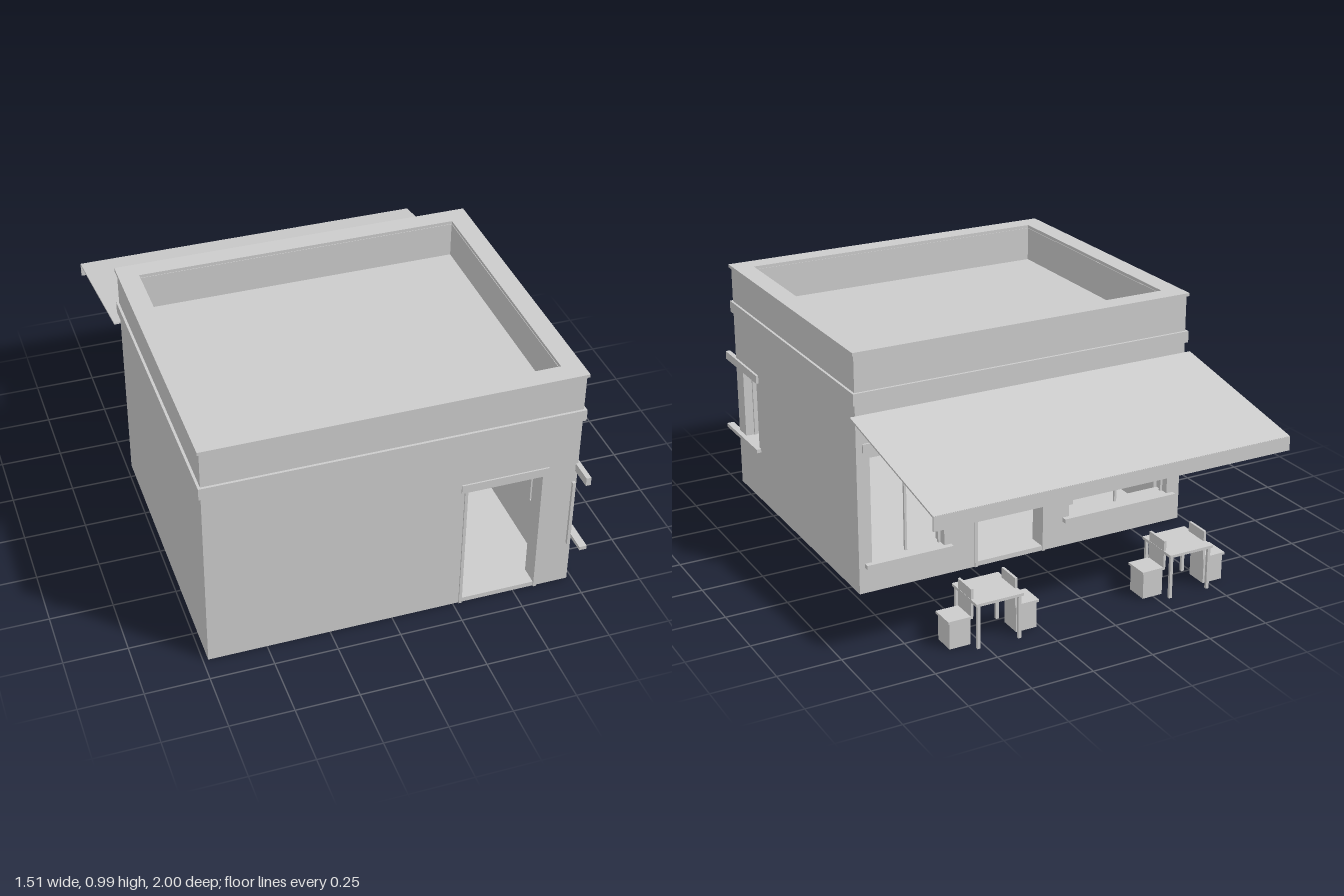
import * as THREE from 'three';

export function createModel() {
  const model = new THREE.Group();
  model.name = 'cafeBuilding';
  const plaster = new THREE.MeshStandardMaterial({ color: 0xcccccc });
  plaster.name = 'plain grey';

  const add = (name, geometry, parent = model) => {
    const mesh = new THREE.Mesh(geometry, plaster);
    mesh.name = name;
    parent.add(mesh);
    return mesh;
  };
  // Box given by its limits on each axis
  const box = (name, x0, x1, y0, y1, z0, z1, parent) => {
    const g = new THREE.BoxGeometry(x1 - x0, y1 - y0, z1 - z0);
    g.translate((x0 + x1) / 2, (y0 + y1) / 2, (z0 + z1) / 2);
    return add(name, g, parent);
  };
  const rect = (Type, x0, x1, y0, y1) => {
    const p = new Type();
    p.moveTo(x0, y0).lineTo(x1, y0).lineTo(x1, y1).lineTo(x0, y1).closePath();
    return p;
  };

  const W = 0.73, BACK = -0.322, FRONT = 0.902, T = 0.075, TOP = 0.975;
  const extrude = { depth: T, bevelEnabled: false };

  // Front and back walls with their openings
  const wall = (name, z, openings) => {
    const shape = rect(THREE.Shape, -W, W, 0, TOP);
    openings.forEach(o => shape.holes.push(rect(THREE.Path, ...o)));
    add(name, new THREE.ExtrudeGeometry(shape, extrude).translate(0, 0, z));
  };
  const frontDoor = [0.285, 0.585, 0.02, 0.55];
  const backDoor = [-0.075, 0.22, 0.02, 0.55];
  const backWindows = [[-0.67, -0.2, 0.125, 0.585], [0.365, 0.675, 0.125, 0.585]];
  wall('frontWall', FRONT - T, [frontDoor]);
  wall('backWall', BACK, [backDoor, ...backWindows]);

  // Side walls, the left one notched for the corner window
  const zi = FRONT - T, zb = BACK + T;
  box('rightWall', -W, -W + T, 0, TOP, zb, zi);
  const side = new THREE.Shape([
    [zb, 0], [zi, 0], [zi, 0.24], [0.675, 0.24], [0.675, 0.54], [zi, 0.54], [zi, TOP], [zb, TOP],
  ].map(p => new THREE.Vector2(...p)));
  add('leftWall', new THREE.ExtrudeGeometry(side, extrude).rotateY(-Math.PI / 2).translate(W, 0, 0));

  // Floor and flat roof
  box('floor', -W + T, W - T, 0, 0.02, zb, zi);
  box('roof', -W + T, W - T, 0.78, 0.83, zb, zi);

  // Bands running round the building
  const band = (name, out, inset, y0, y1) => {
    const shape = rect(THREE.Shape, -W - out, W + out, -FRONT - out, -BACK + out);
    shape.holes.push(rect(THREE.Path, -W + inset, W - inset, -FRONT + inset, -BACK - inset));
    const g = new THREE.ExtrudeGeometry(shape, { depth: y1 - y0, bevelEnabled: false });
    add(name, g.rotateX(-Math.PI / 2).translate(0, y0, 0));
  };
  band('cornice', 0.01, 0.02, 0.78, 0.828);
  band('parapetCap', 0.008, T - 0.002, TOP, 0.988);

  // Door trims
  const doorTrim = (name, [x0, x1, , y1], z0, z1) => {
    const g = new THREE.Group();
    g.name = name;
    model.add(g);
    box('lintel', x0 - 0.025, x1 + 0.025, y1, y1 + 0.036, z0, z1, g);
    box('jamb', x0 - 0.012, x0, 0, y1, z0, z1, g);
    box('jamb', x1, x1 + 0.012, 0, y1, z0, z1, g);
  };
  doorTrim('frontDoorTrim', frontDoor, FRONT - 0.01, FRONT + 0.006);
  doorTrim('backDoorTrim', backDoor, BACK - 0.006, BACK + 0.01);

  // Back windows: lintel, sill and slim posts set mid-wall
  backWindows.forEach(([x0, x1, y0, y1]) => {
    const g = new THREE.Group();
    g.name = 'backWindow';
    model.add(g);
    box('lintel', x0 - 0.03, x1 + 0.03, y1, y1 + 0.035, BACK - 0.008, BACK + 0.01, g);
    box('sill', x0 - 0.03, x1 + 0.03, y0 - 0.018, y0, BACK - 0.022, BACK + 0.01, g);
    const mid = BACK + T / 2;
    [x0 + 0.005, (x0 + x1) / 2 - 0.005, x1 - 0.005].forEach(x =>
      box('post', x - 0.005, x + 0.005, y0, y1, mid - 0.005, mid + 0.005, g));
  });

  // Corner window on the left side, reaching past the front wall
  const corner = new THREE.Group();
  corner.name = 'cornerWindow';
  model.add(corner);
  box('lintel', 0.72, 0.74, 0.54, 0.575, 0.65, 0.997, corner);
  box('sill', 0.72, 0.75, 0.226, 0.242, 0.657, 1, corner);
  [0.683, 0.825, 0.963].forEach(z =>
    box('post', 0.681, 0.693, 0.242, 0.54, z - 0.006, z + 0.006, corner));

  // Sloping awning with a hanging front edge
  const run = 0.676, drop = 0.125;
  const slope = add('awning', new THREE.BoxGeometry(1.508, 0.007, Math.hypot(run, drop)));
  slope.position.set(-0.003, 0.67, BACK - run / 2);
  slope.rotation.x = -Math.atan2(drop, run);
  box('awningValance', -0.757, 0.751, 0.553, 0.61, -1, -0.993);

  // Chair: solid base, seat slab and an upright back on the table side
  const chair = (x, z, dir, y = 0) => {
    const g = new THREE.Group();
    g.name = 'chair';
    g.position.set(x, y, z);
    if (dir < 0) g.rotation.y = Math.PI;
    model.add(g);
    box('base', -0.043, 0.043, 0, 0.105, -0.045, 0.045, g);
    box('seat', -0.05, 0.05, 0.105, 0.115, -0.051, 0.051, g);
    box('backrest', -0.052, -0.042, 0.115, 0.226, -0.051, 0.051, g);
  };

  // Two outdoor tables, each with a pair of chairs
  [-0.385, 0.445].forEach(x => {
    const z = -0.824, g = new THREE.Group();
    g.name = 'table';
    g.position.set(x, 0, z);
    model.add(g);
    box('top', -0.097, 0.097, 0.174, 0.185, -0.097, 0.097, g);
    for (const sx of [-1, 1]) for (const sz of [-1, 1]) {
      const leg = box('leg', -0.006, 0.006, 0, 0.174, -0.006, 0.006, g);
      leg.position.set(sx * 0.085, 0, sz * 0.085);
    }
    chair(x + 0.138, z, 1);
    chair(x - 0.138, z, -1);
  });

  // Indoor pieces
  chair(-0.35, 0.01, 1, 0.02);
  box('cabinet', -0.65, -0.5, 0.02, 0.485, 0.745, zi);

  return model;
}
